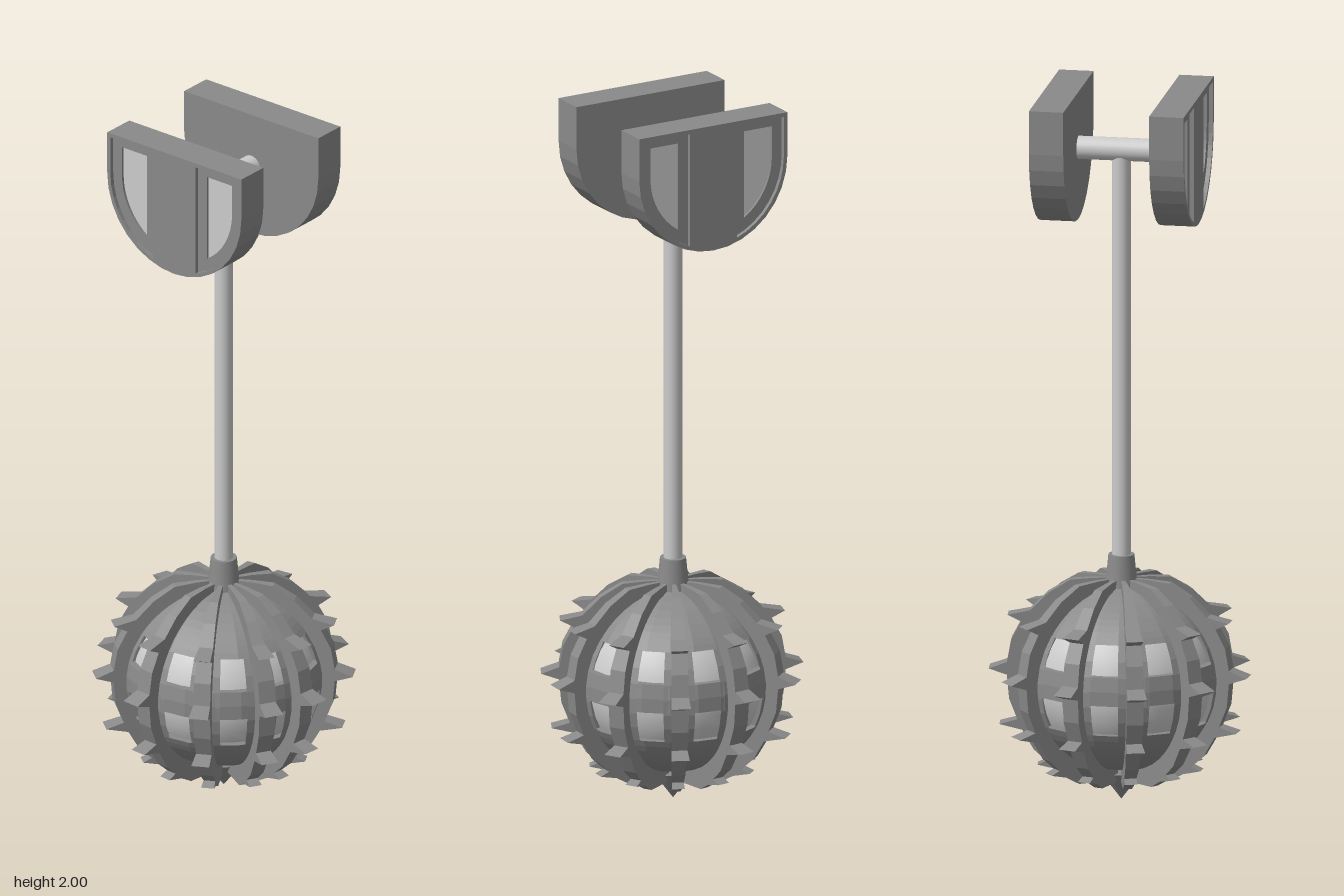
import * as THREE from 'three';

const dark = new THREE.MeshStandardMaterial({ color: 0x8a8a8a, flatShading: true, side: THREE.DoubleSide });
const darkSmooth = new THREE.MeshStandardMaterial({ color: 0x8a8a8a, side: THREE.DoubleSide });
const light = new THREE.MeshStandardMaterial({ color: 0xcccccc });
const V = (x, y) => new THREE.Vector2(x, y);
const rad = THREE.MathUtils.degToRad;

function add(parent, name, geometry, material = dark, x = 0, y = 0, z = 0) {
  const mesh = new THREE.Mesh(geometry, material);
  mesh.name = name;
  mesh.position.set(x, y, z);
  parent.add(mesh);
  return mesh;
}

const extrude = (shape, depth) => new THREE.ExtrudeGeometry(shape, { depth, bevelEnabled: false });

// --- Shield-shaped end plates with two framed windows each ---
const PLATE_R = 0.2375, PLATE_CY = 1.877;

// half-D window outline, shrunk by inset; side is +1 or -1
function windowOutline(side, inset) {
  const r = 0.226 - inset, x0 = 0.075 + inset, top = 1.988 - inset * 0.8;
  const end = Math.acos(x0 / r), points = [V(side * x0, top), V(side * r, top)];
  for (let i = 0; i <= 8; i++) {
    const t = (end * i) / 8;
    points.push(V(side * r * Math.cos(t), PLATE_CY - r * Math.sin(t)));
  }
  return points;
}

function makePlate() {
  const plate = new THREE.Group();
  const outline = [V(PLATE_R, 2), V(-PLATE_R, 2)];
  for (let i = 0; i <= 16; i++) {
    const t = Math.PI * (1 + i / 16);
    outline.push(V(PLATE_R * Math.cos(t), PLATE_CY + PLATE_R * Math.sin(t)));
  }
  add(plate, 'plateBody', extrude(new THREE.Shape(outline), 0.067), dark, 0, 0, 0.12);
  const face = new THREE.Shape(outline);
  for (const side of [-1, 1]) {
    const outer = windowOutline(side, 0), inner = windowOutline(side, 0.031);
    face.holes.push(new THREE.Path(outer));
    const frame = new THREE.Shape(outer);
    frame.holes.push(new THREE.Path(inner));
    add(plate, 'windowFrame', extrude(frame, 0.017), dark, 0, 0, 0.187);
    add(plate, 'windowPane', extrude(new THREE.Shape(inner), 0.01), light, 0, 0, 0.187);
  }
  add(plate, 'plateFace', extrude(face, 0.029), dark, 0, 0, 0.187);
  return plate;
}

// --- Ball ---
const BALL_Y = 0.35, SHELL = 0.28, GLOBE = 0.262, SQUASH = 0.935;

// closed ring profile of the shell between two heights
function shellProfile(y0, y1, steps) {
  const radiusAt = (r, y) => Math.sqrt(Math.max(0, r * r - ((y - BALL_Y) / SQUASH) ** 2));
  const outer = [], inner = [];
  for (let i = 0; i <= steps; i++) {
    const y = y0 + ((y1 - y0) * i) / steps;
    outer.push(V(radiusAt(SHELL, y), y));
    inner.unshift(V(radiusAt(GLOBE - 0.002, y), y));
  }
  return [...outer, ...inner, outer[0].clone()];
}

// spiked rib: an extruded profile narrowing toward the axis
function ribGeometry() {
  const shape = new THREE.Shape([
    V(0.03, 0.628), V(0.08, 0.627), V(0.14, 0.622), V(0.2, 0.585), V(0.25, 0.535),
    V(0.312, 0.522), V(0.275, 0.503), V(0.303, 0.45), V(0.314, 0.388),
    V(0.364, 0.37), V(0.314, 0.352), V(0.308, 0.285), V(0.285, 0.226),
    V(0.335, 0.212), V(0.272, 0.196), V(0.24, 0.14), V(0.205, 0.108),
    V(0.23, 0.097), V(0.18, 0.085), V(0.14, 0.062), V(0.03, 0.056),
    V(0.03, 0.12), V(0.15, 0.17), V(0.23, 0.26), V(0.245, 0.35), V(0.23, 0.44), V(0.15, 0.53), V(0.03, 0.58),
  ]);
  const geometry = extrude(shape, 2);
  const p = geometry.attributes.position;
  for (let i = 0; i < p.count; i++) p.setZ(i, (p.getZ(i) - 1) * (0.003 + 0.066 * p.getX(i)));
  geometry.computeVertexNormals();
  return geometry;
}

function makeBall() {
  const ball = new THREE.Group();
  ball.name = 'spikedBall';
  // light globe showing through the windows
  add(ball, 'innerGlobe', new THREE.SphereGeometry(GLOBE, 32, 20), light, 0, BALL_Y, 0).scale.y = SQUASH;
  // horizontal bands of the shell leave two rows of windows
  for (const [name, y0, y1, steps] of [['upperCap', 0.493, 0.611, 8], ['middleBand', 0.33, 0.41, 2], ['lowerCap', 0.089, 0.24, 8]])
    add(ball, name, new THREE.LatheGeometry(shellProfile(y0, y1, steps), 22));
  // ribs with the window posts behind them
  const rib = ribGeometry(), half = rad(9);
  const post = new THREE.LatheGeometry(shellProfile(0.24, 0.493, 6), 2, Math.PI / 2 - half, 2 * half);
  for (let k = 0; k < 11; k++) {
    const sector = new THREE.Group();
    sector.name = 'ribSector';
    sector.rotation.y = -rad(28.5 + 33.6 * k);
    add(sector, 'spikedRib', rib);
    add(sector, 'windowPost', post);
    ball.add(sector);
  }
  add(ball, 'bottomPoint', new THREE.ConeGeometry(0.06, 0.08, 16), dark, 0, 0.04, 0).rotation.x = Math.PI;
  add(ball, 'collar', new THREE.CylinderGeometry(0.036, 0.046, 0.1, 20), darkSmooth, 0, 0.645, 0);
  return ball;
}

export function createModel() {
  const model = new THREE.Group();
  model.name = 'spikedBallPendulum';
  const body = new THREE.Group();
  body.name = 'body';
  body.position.x = -0.004;
  model.add(body);

  for (const [name, turn] of [['frontPlate', 0], ['backPlate', Math.PI]]) {
    const plate = makePlate();
    plate.name = name;
    plate.rotation.y = turn;
    body.add(plate);
  }
  // crossbar and hanging shaft
  add(body, 'crossbar', new THREE.CylinderGeometry(0.032, 0.032, 0.25, 24), light, 0, 1.843, 0).rotation.x = Math.PI / 2;
  add(body, 'shaft', new THREE.CylinderGeometry(0.026, 0.026, 1.16, 24), light, 0, 1.25, 0);
  body.add(makeBall());
  return model;
}
